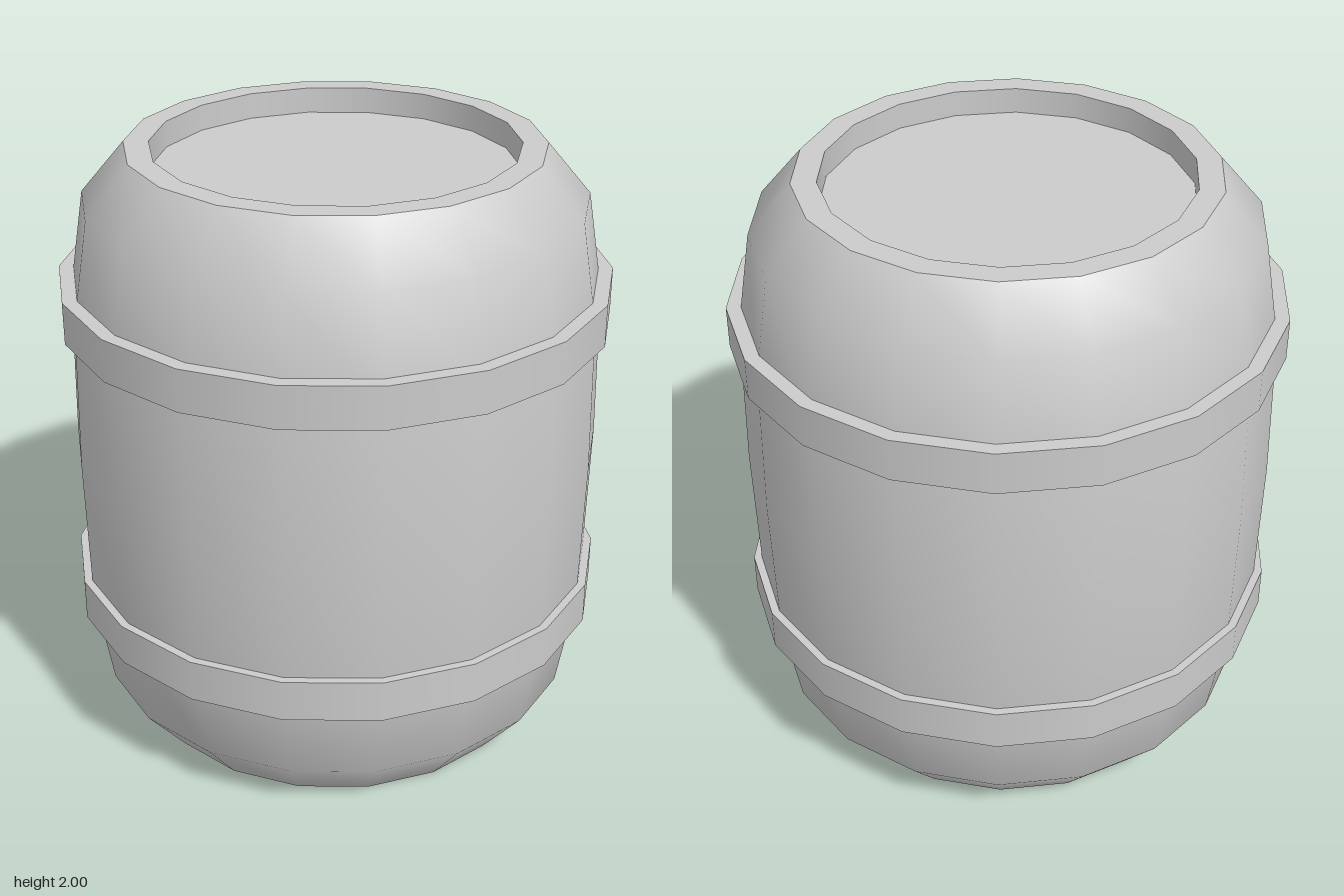
import * as THREE from 'three';
import { mergeGeometries } from 'three/addons/utils/BufferGeometryUtils.js';

const SIDES = 18;
const material = new THREE.MeshStandardMaterial({ color: 0xcccccc });

// Smooth surface of revolution through [radius, height] points
const lathe = (points) =>
  new THREE.LatheGeometry(points.map(([r, y]) => new THREE.Vector2(r, y)), SIDES);

// Same, but with a hard edge at every profile point
const hardLathe = (points) =>
  mergeGeometries(points.slice(1).map((p, i) => lathe([points[i], p])));

function part(name, geometry) {
  const mesh = new THREE.Mesh(geometry, material);
  mesh.name = name;
  return mesh;
}

export function createModel() {
  const barrel = new THREE.Group();
  barrel.name = 'barrel';

  // Bulging wall, smooth from foot to rim
  barrel.add(part('wall', lathe([
    [0.665, 0], [0.805, 0.17], [0.86, 0.5], [0.87, 1],
    [0.86, 1.5], [0.805, 1.835], [0.665, 2],
  ])));

  // Flat bottom
  barrel.add(part('bottom', lathe([[0, 0], [0.665, 0]])));

  // Rim with a sunken lid
  barrel.add(part('rim', hardLathe([[0.665, 2], [0.585, 2], [0.585, 1.915]])));
  barrel.add(part('lid', lathe([[0.585, 1.915], [0, 1.915]])));

  // Two hoops around the wall
  const hoops = [['lowerHoop', 0.43, 0.57, 0.888], ['upperHoop', 1.44, 1.58, 0.894]];
  for (const [name, y0, y1, r] of hoops) {
    barrel.add(part(name, hardLathe([[0.82, y0], [r, y0], [r, y1], [0.82, y1]])));
  }

  return barrel;
}
